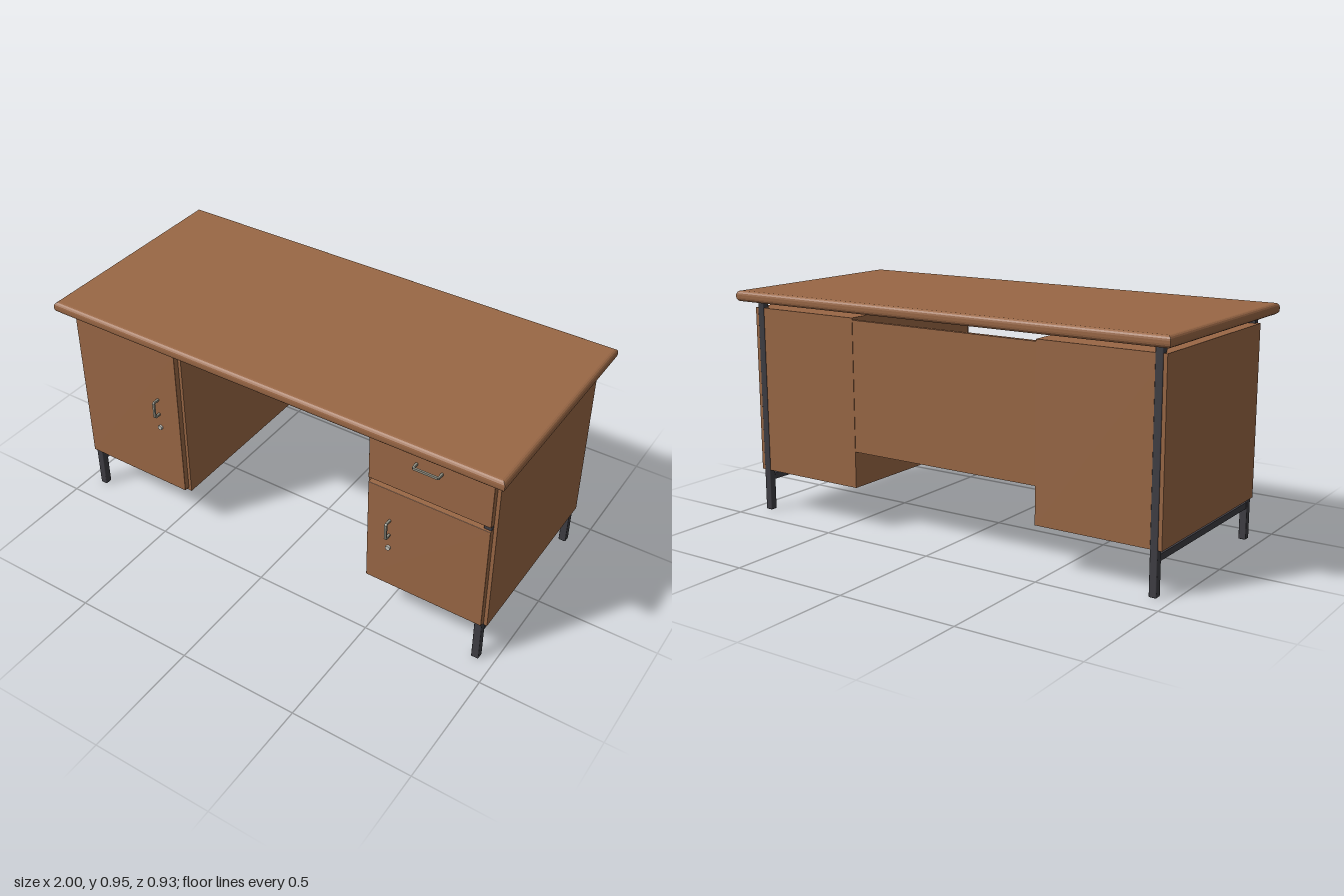
import * as THREE from 'three';
import { RoundedBoxGeometry } from 'three/addons/geometries/RoundedBoxGeometry.js';

const material = (name, color) => {
  const m = new THREE.MeshStandardMaterial({ color });
  m.name = name;
  return m;
};

export function createModel() {
  const wood = material('wood', 0x996745);
  const steel = material('dark steel', 0x3e3d43);
  const handleMetal = material('handle metal', 0x8f8d80);
  const lockMetal = material('lock metal', 0xc4c2ba);

  const desk = new THREE.Group();
  desk.name = 'desk';

  const add = (name, geometry, mat, x = 0, y = 0, z = 0) => {
    const mesh = new THREE.Mesh(geometry, mat);
    mesh.name = name;
    mesh.position.set(x, y, z);
    desk.add(mesh);
    return mesh;
  };

  // Block given by its minimum and maximum on each axis, optionally with eased edges
  const block = (name, mat, [x0, x1], [y0, y1], [z0, z1], radius = 0) => {
    const size = [x1 - x0, y1 - y0, z1 - z0];
    const geometry = radius
      ? new RoundedBoxGeometry(...size, 2, radius)
      : new THREE.BoxGeometry(...size);
    return add(name, geometry, mat, (x0 + x1) / 2, (y0 + y1) / 2, (z0 + z1) / 2);
  };

  // Table top with a bullnose edge
  const bevel = 0.017;
  const w = 1 - bevel, d = 0.467 - bevel;
  const outline = new THREE.Shape([
    new THREE.Vector2(-w, -d), new THREE.Vector2(w, -d),
    new THREE.Vector2(w, d), new THREE.Vector2(-w, d),
  ]);
  const topGeometry = new THREE.ExtrudeGeometry(outline, {
    depth: 0.011, bevelThickness: bevel, bevelSize: bevel, bevelSegments: 4,
  });
  topGeometry.rotateX(-Math.PI / 2);
  add('tableTop', topGeometry, wood, 0, 0.906 + bevel, 0);

  // Cabinets and steel frames, mirrored on both sides
  for (const side of [-1, 1]) {
    const label = side > 0 ? 'left' : 'right';
    const span = (a, b) => (side > 0 ? [a, b] : [-b, -a]);
    block(label + 'Cabinet', wood, span(0.432, 0.957), [0.177, 0.877], [-0.399, 0.387]);
    block(label + 'FrontLeg', steel, span(0.911, 0.942), [0, 0.9], [0.371, 0.402], 0.004);
    block(label + 'BackLeg', steel, span(0.911, 0.942), [0, 0.9], [-0.402, -0.371], 0.004);
    block(label + 'CrossBar', steel, span(0.914, 0.939), [0.131, 0.157], [-0.372, 0.372]);
  }

  // Panel closing the knee space at the back
  block('modestyPanel', wood, [-0.433, 0.433], [0.328, 0.868], [-0.397, -0.377]);

  // Doors and drawer front
  const front = [0.386, 0.411];
  block('rightDoor', wood, [-0.945, -0.445], [0.19, 0.867], front, 0.002);
  block('leftDoor', wood, [0.443, 0.943], [0.19, 0.659], front, 0.002);
  block('drawerFront', wood, [0.443, 0.943], [0.679, 0.867], front, 0.002);

  // U-shaped pull with clipped corners, lying along x until turned
  const handle = (name, x, y, length, upright) => {
    const h = length / 2, t = 0.008, reach = 0.034, c = 0.006;
    const shape = new THREE.Shape([
      [-h, 0], [-h + t, 0], [-h + t, reach - t], [h - t, reach - t], [h - t, 0],
      [h, 0], [h, reach - c], [h - c, reach], [-h + c, reach], [-h, reach - c],
    ].map(([px, py]) => new THREE.Vector2(px, py)));
    const geometry = new THREE.ExtrudeGeometry(shape, { depth: 0.009, bevelEnabled: false });
    geometry.translate(0, 0, -0.0045);
    geometry.rotateX(Math.PI / 2);
    if (upright) geometry.rotateZ(Math.PI / 2);
    add(name, geometry, handleMetal, x, y, 0.41);
  };
  handle('rightDoorHandle', -0.545, 0.587, 0.08, true);
  handle('leftDoorHandle', 0.54, 0.48, 0.08, true);
  handle('drawerHandle', 0.69, 0.832, 0.11, false);

  // Round door locks
  for (const [name, x, y] of [['rightDoorLock', -0.544, 0.485], ['leftDoorLock', 0.538, 0.38]]) {
    const geometry = new THREE.CylinderGeometry(0.01, 0.01, 0.012, 20);
    geometry.rotateX(Math.PI / 2);
    add(name, geometry, lockMetal, x, y, 0.414);
  }

  return desk;
}
